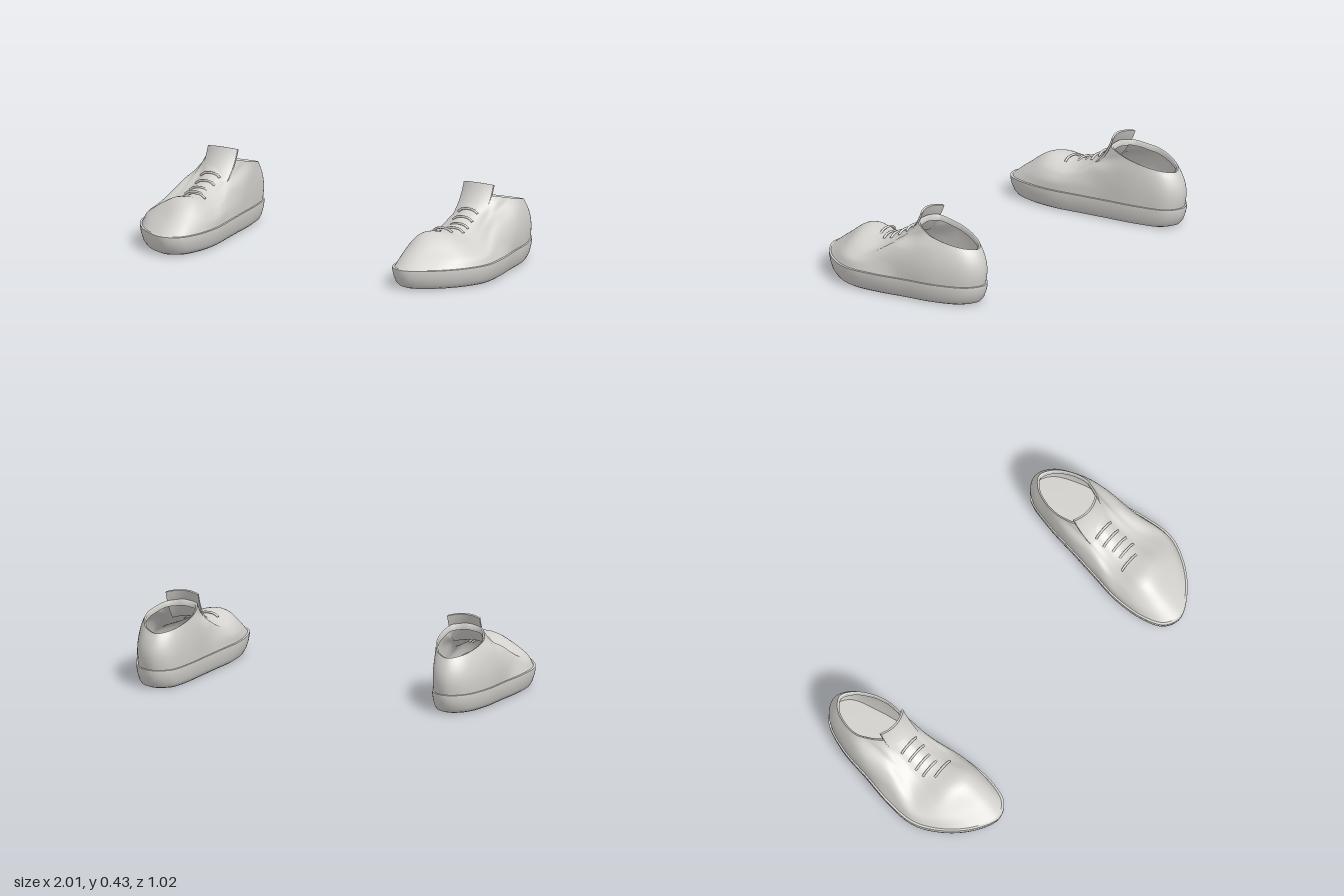
import * as THREE from 'three';
import { mergeVertices, toCreasedNormals } from 'three/addons/utils/BufferGeometryUtils.js';

const AROUND = 112;
const CENTRE_X = 0.775;

const leather = new THREE.MeshStandardMaterial({ color: 0xd4d2ce, side: THREE.DoubleSide });
leather.name = 'light grey leather';

// Paths over the foot, each running from the sole up to the collar (x, y, z)
const toeCentre = [0.70, 0.10, 0.505, 0.70, 0.17, 0.41, 0.71, 0.25, 0.28, 0.73, 0.238, 0.13, 0.745, 0.30, -0.02, 0.75, 0.38, -0.115];
const outerFoot = [
  [0.81, 0.10, 0.455, 0.80, 0.165, 0.37, 0.79, 0.238, 0.265, 0.785, 0.232, 0.12, 0.785, 0.295, -0.025, 0.79, 0.375, -0.115],
  [0.92, 0.10, 0.345, 0.91, 0.15, 0.30, 0.88, 0.195, 0.235, 0.84, 0.21, 0.10, 0.82, 0.285, -0.04, 0.83, 0.37, -0.13],
  [0.99, 0.10, 0.20, 0.975, 0.14, 0.18, 0.94, 0.165, 0.15, 0.88, 0.205, 0.07, 0.855, 0.295, -0.07, 0.855, 0.362, -0.165],
  [0.985, 0.10, 0.03, 0.965, 0.155, 0.02, 0.945, 0.205, 0.0, 0.915, 0.25, -0.03, 0.875, 0.295, -0.11, 0.875, 0.35, -0.21],
];
const innerFoot = [
  [0.60, 0.10, 0.03, 0.605, 0.155, 0.02, 0.62, 0.205, 0.0, 0.635, 0.245, -0.03, 0.655, 0.295, -0.11, 0.652, 0.35, -0.21],
  [0.575, 0.10, 0.20, 0.58, 0.145, 0.18, 0.605, 0.185, 0.15, 0.645, 0.215, 0.07, 0.665, 0.295, -0.07, 0.66, 0.362, -0.165],
  [0.585, 0.10, 0.37, 0.595, 0.155, 0.32, 0.615, 0.205, 0.245, 0.665, 0.22, 0.10, 0.69, 0.29, -0.04, 0.675, 0.37, -0.13],
  [0.625, 0.10, 0.47, 0.64, 0.168, 0.385, 0.66, 0.24, 0.27, 0.695, 0.232, 0.12, 0.715, 0.295, -0.025, 0.71, 0.375, -0.115],
];
// Ankle and heel: sole x, sole z, collar x, collar y, collar z
const ankle = [
  [0.955, -0.13, 0.89, 0.338, -0.26],
  [0.92, -0.32, 0.88, 0.318, -0.34],
  [0.855, -0.46, 0.835, 0.295, -0.43],
  [0.775, -0.50, 0.77, 0.285, -0.47],
  [0.70, -0.46, 0.71, 0.295, -0.43],
  [0.655, -0.32, 0.665, 0.318, -0.34],
  [0.625, -0.13, 0.65, 0.338, -0.26],
];

const toPoints = (a) => Array.from({ length: a.length / 3 }, (_, i) => new THREE.Vector3().fromArray(a, i * 3));

// Ankle walls rise almost straight, then curl in to the collar
function anklePath([x0, z0, x1, y1, z1]) {
  return Array.from({ length: 6 }, (_, i) => {
    const t = i / 5, curl = t ** 2.5, bulge = 1 + 0.025 * Math.sin(Math.PI * t);
    return new THREE.Vector3(
      CENTRE_X + (THREE.MathUtils.lerp(x0, x1, curl) - CENTRE_X) * bulge,
      THREE.MathUtils.lerp(0.1, y1, t),
      THREE.MathUtils.lerp(z0, z1, curl) * bulge);
  });
}

// Samples one closed ring through its control points
function closedRing(points) {
  const curve = new THREE.CatmullRomCurve3(points, true);
  return Array.from({ length: AROUND }, (_, i) => curve.getPoint(i / AROUND));
}

// Joins closed rings of equal length into a surface
function skin(rings) {
  const index = [];
  for (let r = 0; r < rings.length - 1; r++) {
    for (let i = 0; i < AROUND; i++) {
      const j = (i + 1) % AROUND;
      const a = r * AROUND + i, b = r * AROUND + j, c = a + AROUND, d = b + AROUND;
      index.push(a, b, d, a, d, c);
    }
  }
  const geometry = new THREE.BufferGeometry().setFromPoints(rings.flat());
  geometry.setIndex(index);
  geometry.computeVertexNormals();
  return geometry;
}

const scaledRing = (ring, sx, sz, y) => ring.map((p) =>
  new THREE.Vector3(CENTRE_X + (p.x - CENTRE_X) * sx, y ?? p.y, p.z * sz));

function createShoe() {
  const shoe = new THREE.Group();
  const add = (name, geometry) => {
    const mesh = new THREE.Mesh(geometry, leather);
    mesh.name = name;
    shoe.add(mesh);
  };

  const paths = [toPoints(toeCentre), ...outerFoot.map(toPoints), ...ankle.map(anklePath), ...innerFoot.map(toPoints)];
  const controlRings = [0, 1, 2, 3, 4, 5].map((r) => closedRing(paths.map((p) => p[r])));

  // Upper
  const rows = 30;
  const climbs = Array.from({ length: AROUND }, (_, i) => new THREE.CatmullRomCurve3(controlRings.map((r) => r[i])));
  const upperRings = Array.from({ length: rows + 1 }, (_, r) => climbs.map((c) => c.getPoint(r / rows)));
  add('upper', skin(upperRings));

  // Rolled collar edge turned into the opening
  const middle = new THREE.Vector3(0.77, 0, -0.28);
  const inward = (amount, drop) => controlRings[5].map((p) => {
    const q = p.clone().lerp(middle, amount);
    q.y = p.y - drop;
    return q;
  });
  add('collar', skin([controlRings[5], inward(0.07, 0.003), inward(0.06, 0.03)]));

  // Sole with rounded sidewall: x scale, z scale, height
  const soleRows = [
    [0, 0, 0], [0.87, 0.90, 0], [0.93, 0.945, 0.008], [0.98, 0.98, 0.028], [1.025, 1.005, 0.06],
    [1.045, 1.018, 0.088], [1.045, 1.018, 0.101], [0.97, 0.98, 0.103], [0, 0, 0.103],
  ];
  const sole = skin(soleRows.map(([sx, sz, y]) => scaledRing(controlRings[0], sx, sz, y)));
  add('sole', toCreasedNormals(sole, 0.65));

  // Tongue: a thin strip, curved back at its sides
  const width = 0.172;
  const side = new THREE.Shape();
  side.moveTo(-0.015, 0.285);
  side.quadraticCurveTo(-0.09, 0.345, -0.12, 0.432);
  side.lineTo(-0.131, 0.429);
  side.quadraticCurveTo(-0.10, 0.345, -0.03, 0.275);
  let tongue = new THREE.ExtrudeGeometry(side, { depth: width, steps: 14, curveSegments: 10, bevelEnabled: false });
  tongue.rotateY(-Math.PI / 2).translate(width / 2, 0, 0);
  const pos = tongue.attributes.position;
  for (let i = 0; i < pos.count; i++) {
    const u = (pos.getX(i) / (width / 2)) ** 2;
    pos.setXYZ(i, pos.getX(i) + 0.745, pos.getY(i) - 0.01 * u, pos.getZ(i) - 0.026 * u);
  }
  tongue.deleteAttribute('uv');
  tongue.deleteAttribute('normal');
  tongue = toCreasedNormals(mergeVertices(tongue), 0.7);
  add('tongue', tongue);

  // Laces: centre x, crown height, z
  const laces = [[0.75, 0.318, -0.033], [0.75, 0.287, 0.016], [0.755, 0.262, 0.064], [0.755, 0.25, 0.11], [0.72, 0.255, 0.16]];
  for (const [x, y, z] of laces) {
    const arch = new THREE.CatmullRomCurve3([
      new THREE.Vector3(x - 0.056, y - 0.024, z),
      new THREE.Vector3(x - 0.035, y - 0.009, z),
      new THREE.Vector3(x, y - 0.003, z),
      new THREE.Vector3(x + 0.035, y - 0.009, z),
      new THREE.Vector3(x + 0.056, y - 0.024, z),
    ]);
    add('lace', new THREE.TubeGeometry(arch, 16, 0.006, 8));
  }
  return shoe;
}

export function createModel() {
  const model = new THREE.Group();
  model.name = 'pairOfShoes';
  const left = createShoe();
  left.name = 'leftShoe';
  const right = createShoe();
  right.name = 'rightShoe';
  right.scale.x = -1;
  model.add(left, right);
  return model;
}
